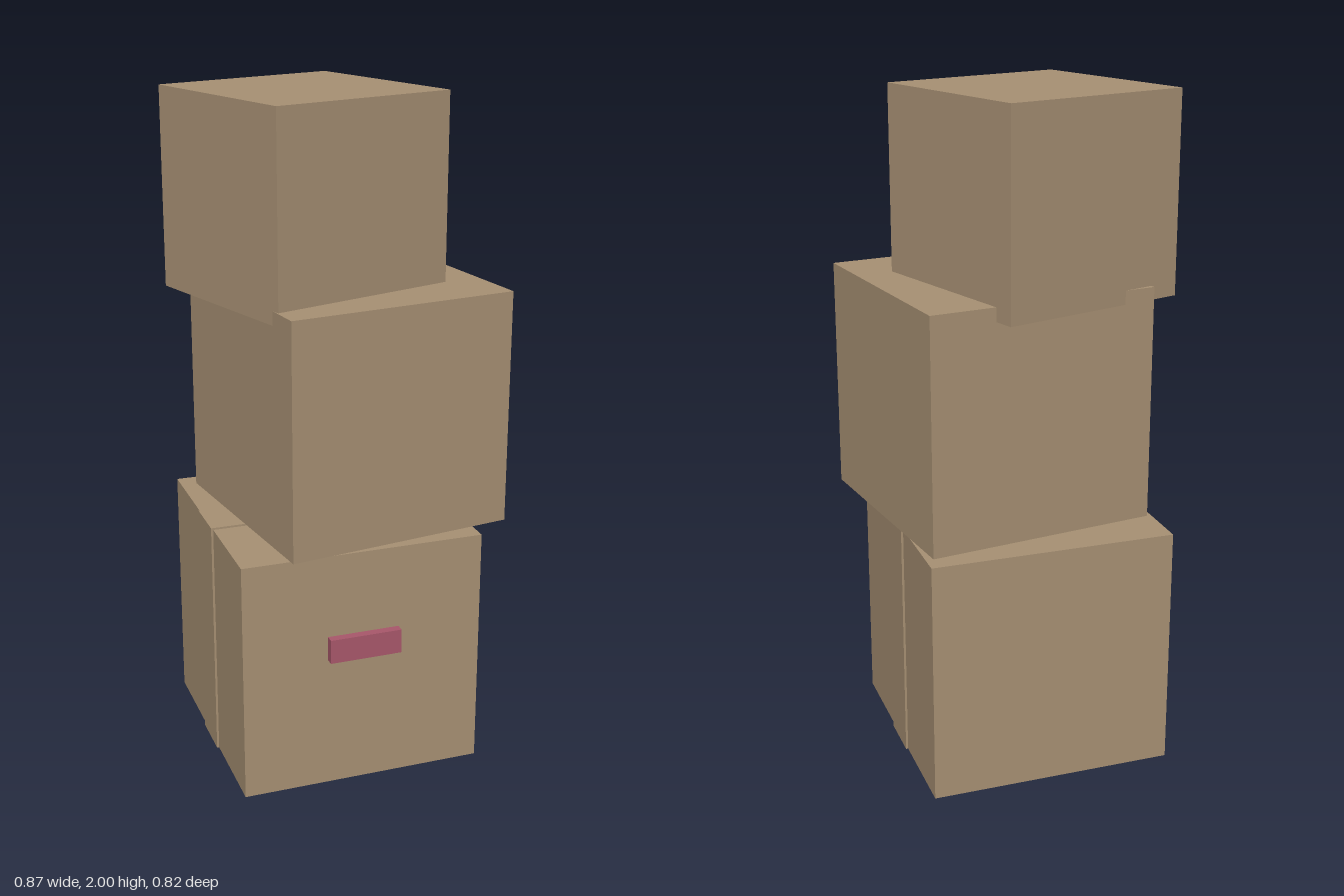
import * as THREE from 'three';

export function createModel() {
  const model = new THREE.Group();
  model.name = 'boxStack';

  const cardboard = new THREE.MeshStandardMaterial({ color: 0xa89174 });
  cardboard.name = 'cardboard tan';
  const labelRed = new THREE.MeshStandardMaterial({ color: 0xa9586b });
  labelRed.name = 'label red';

  // Box given by its size, the centre in x and z, its underside and its turn about y
  function addBox(name, [w, h, d], [x, bottom, z], material, turn = 0) {
    const mesh = new THREE.Mesh(new THREE.BoxGeometry(w, h, d), material);
    mesh.name = name;
    mesh.position.set(x, bottom + h / 2, z);
    mesh.rotation.y = turn;
    model.add(mesh);
  }

  // Three stacked boxes, each smaller and turned further
  addBox('bottomBox', [0.735, 0.735, 0.735], [-0.021, 0, -0.021], cardboard);
  addBox('middleBox', [0.697, 0.697, 0.697], [0.041, 0.757, 0.016], cardboard, 0.141);
  addBox('topBox', [0.587, 0.587, 0.587], [-0.07, 1.413, -0.045], cardboard, 0.302);

  // Tape band over the top and down both sides of the bottom box
  addBox('tapeBand', [0.748, 0.741, 0.147], [-0.021, 0, -0.021], cardboard);

  // Raised label on the front
  addBox('frontLabel', [0.219, 0.074, 0.037], [-0.022, 0.407, 0.354], labelRed);

  return model;
}
